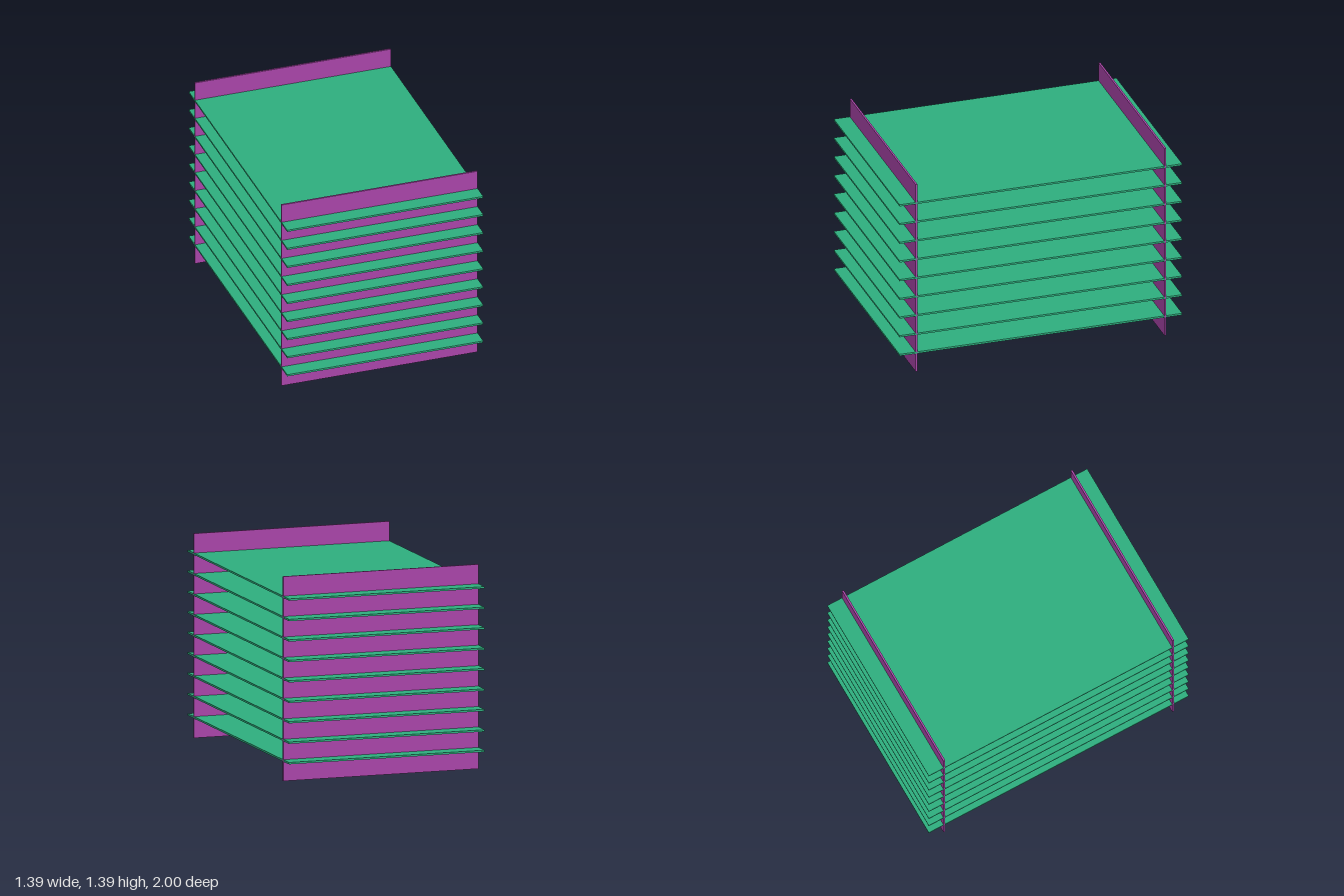
import * as THREE from 'three';

const WIDTH = 1.394, HEIGHT = 1.394, DEPTH = 2, THICK = 0.013;
const SHELVES = 9, PANEL_Z = 0.88;

export function createModel() {
  const model = new THREE.Group();
  model.name = 'shelfRack';
  const purple = new THREE.MeshStandardMaterial({ color: 0xa844a8 });
  const green = new THREE.MeshStandardMaterial({ color: 0x2eae7e });

  const addBoard = (name, material, height, depth, y, z) => {
    const board = new THREE.Mesh(new THREE.BoxGeometry(WIDTH, height, depth), material);
    board.name = name;
    board.position.set(0, y, z);
    model.add(board);
  };

  // Upright panels near the front and back
  addBoard('frontPanel', purple, HEIGHT, THICK, HEIGHT / 2, PANEL_Z);
  addBoard('backPanel', purple, HEIGHT, THICK, HEIGHT / 2, -PANEL_Z);

  // Evenly spaced shelves passing through both panels
  const pitch = HEIGHT / (SHELVES + 1);
  for (let i = 1; i <= SHELVES; i++) {
    addBoard(`shelf${i}`, green, THICK, DEPTH, i * pitch, 0);
  }
  return model;
}
